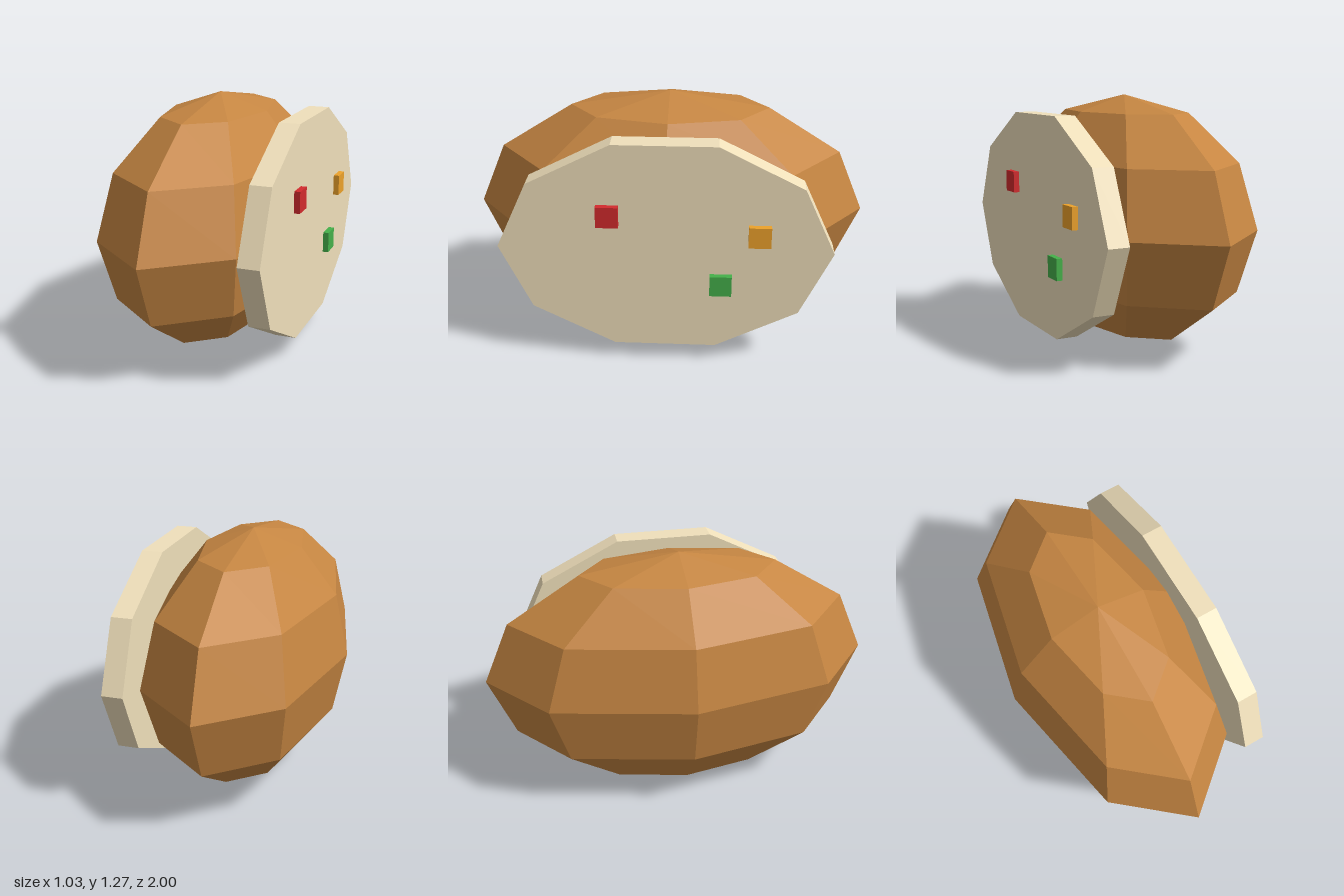
import * as THREE from 'three';

export function createModel() {
  const model = new THREE.Group();
  model.name = 'facetedPod';

  const add = (name, geometry, color, x, y, z) => {
    const material = new THREE.MeshStandardMaterial({ color, flatShading: true });
    const mesh = new THREE.Mesh(geometry, material);
    mesh.name = name;
    mesh.position.set(x, y, z);
    model.add(mesh);
  };

  // Low-poly ellipsoid body
  add('body', new THREE.SphereGeometry(1, 8, 6).scale(0.5, 0.636, 1), 0xc68642, -0.017, 0.638, 0);

  // Ten-sided oval plate on the left side
  const plate = new THREE.CylinderGeometry(1, 1, 0.107, 10)
    .rotateZ(-Math.PI / 2)
    .scale(1, 0.573, 0.815);
  add('sidePlate', plate, 0xf0e0bb, 0.433, 0.638, 0);

  // Small square buttons on the plate, partly sunk into it
  const buttons = [
    ['redButton', 0xd32a2d, 0.82, 0.275],
    ['amberButton', 0xeda22b, 0.73, -0.455],
    ['greenButton', 0x45b04a, 0.457, -0.273],
  ];
  for (const [name, color, y, z] of buttons) {
    add(name, new THREE.BoxGeometry(0.054, 0.108, 0.108), color, 0.489, y, z);
  }

  return model;
}
